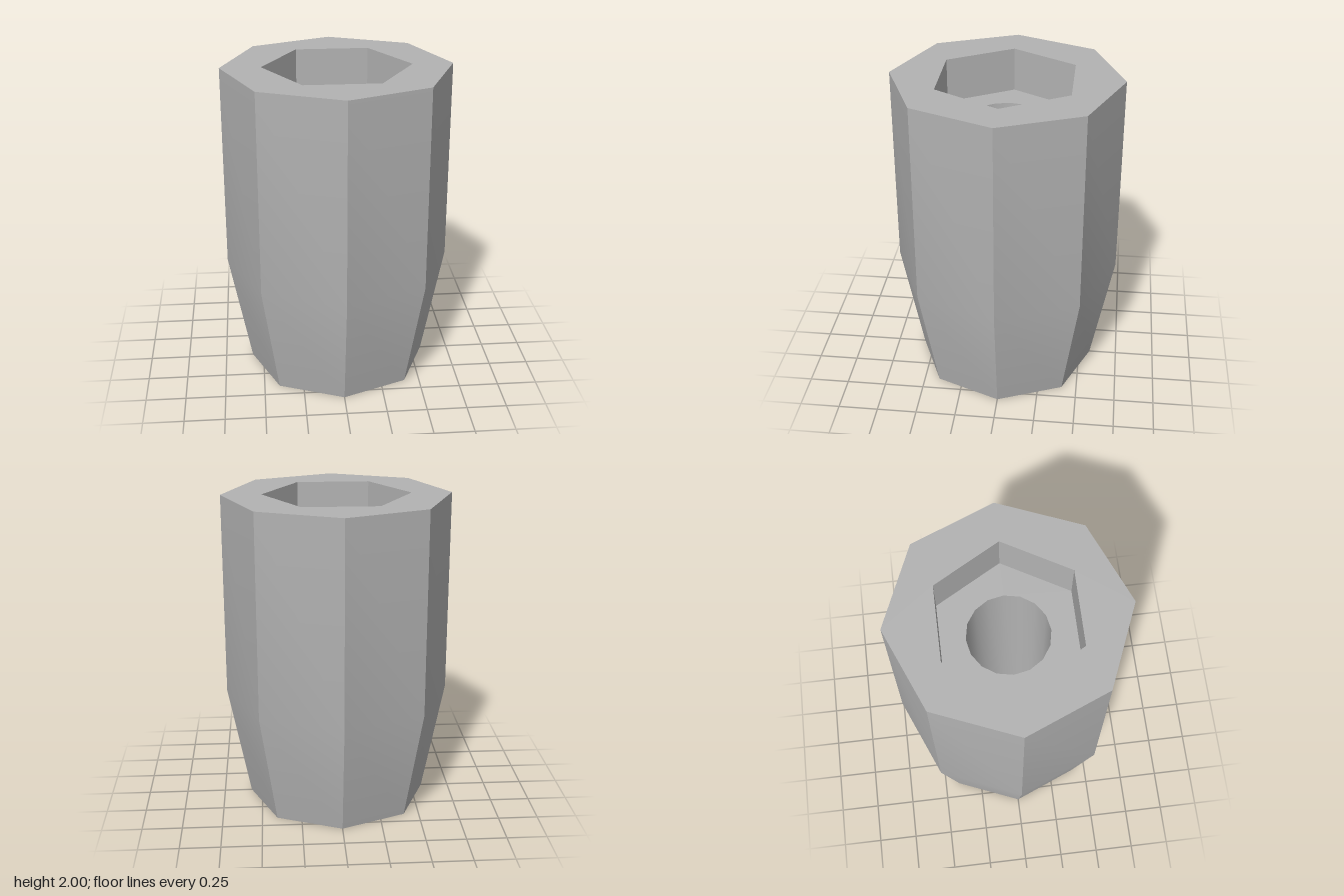
import * as THREE from 'three';
import { toCreasedNormals } from 'three/addons/utils/BufferGeometryUtils.js';

const TOP = 2, FLOOR = 1.72, SHOULDER = 0.72;
const OUTER = 0.713, FOOT = 0.572, HEX = 0.462, BORE = 0.25;

// Regular polygon points, matching the angles used by LatheGeometry
function polygon(radius, sides, start = 0) {
  return Array.from({ length: sides }, (_, i) => {
    const a = start + (i / sides) * Math.PI * 2;
    return new THREE.Vector2(radius * Math.sin(a), radius * Math.cos(a));
  });
}

export function createModel() {
  const group = new THREE.Group();
  const grey = new THREE.MeshStandardMaterial({ color: 0xb2b2b2 });
  grey.name = 'plain grey';

  function add(name, geometry) {
    const mesh = new THREE.Mesh(geometry, grey);
    mesh.name = name;
    group.add(mesh);
  }

  // Wall turned from [radius, y] pairs: upward faces out, downward faces in
  function wall(name, profile, sides, start = 0) {
    const points = profile.map(([r, y]) => new THREE.Vector2(r, y));
    const lathe = new THREE.LatheGeometry(points, sides, start);
    add(name, toCreasedNormals(lathe, Math.PI / 6));
  }

  // Flat face between two polygons
  function face(name, outline, hole, y, up) {
    const shape = new THREE.Shape(outline);
    shape.holes.push(new THREE.Path(hole));
    const geometry = new THREE.ShapeGeometry(shape);
    geometry.rotateX(up ? -Math.PI / 2 : Math.PI / 2);
    geometry.translate(0, y, 0);
    add(name, geometry);
  }

  const hexagon = polygon(HEX, 6, Math.PI / 6);
  const circle = polygon(BORE, 16);

  // Octagonal body with a tapered foot
  wall('outerWall', [[FOOT, 0], [OUTER, SHOULDER], [OUTER, TOP]], 8);
  face('topRim', polygon(OUTER, 8), hexagon, TOP, true);
  face('bottomFace', polygon(FOOT, 8), circle, 0, false);

  // Hexagonal pocket in the top
  wall('pocketWall', [[HEX, TOP], [HEX, FLOOR]], 6, Math.PI / 6);
  face('pocketFloor', hexagon, circle, FLOOR, true);

  // Round hole through to the bottom
  wall('boreWall', [[BORE, FLOOR], [BORE, 0]], 16);

  return group;
}
